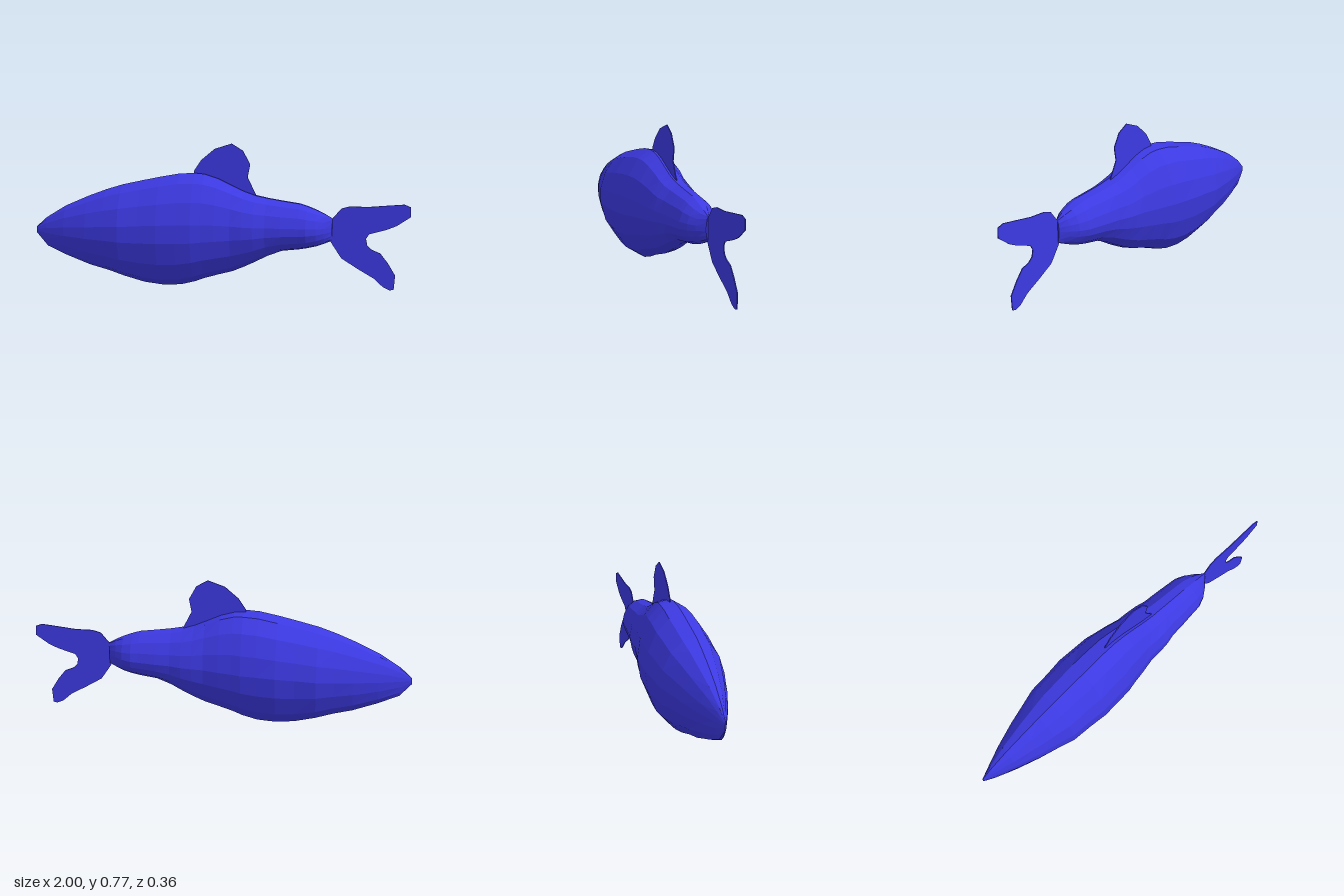
import * as THREE from 'three';

// Body stations: x, top y, bottom y, half width
const STATIONS = [
  [-1, 0.29, 0.255, 0.004], [-0.94, 0.345, 0.185, 0.028], [-0.83, 0.415, 0.138, 0.072],
  [-0.7, 0.475, 0.092, 0.115], [-0.6, 0.515, 0.068, 0.142], [-0.51, 0.545, 0.04, 0.168],
  [-0.4, 0.572, 0.012, 0.174], [-0.3, 0.595, 0.002, 0.184], [-0.2, 0.615, 0.008, 0.178],
  [-0.12, 0.62, 0.03, 0.174], [-0.07, 0.616, 0.05, 0.163], [0, 0.595, 0.072, 0.152],
  [0.08, 0.557, 0.095, 0.136], [0.14, 0.53, 0.122, 0.135], [0.2, 0.51, 0.152, 0.13],
  [0.26, 0.498, 0.185, 0.117], [0.34, 0.486, 0.218, 0.112], [0.43, 0.474, 0.23, 0.103],
  [0.47, 0.462, 0.238, 0.1], [0.52, 0.443, 0.25, 0.08], [0.56, 0.425, 0.265, 0.05],
  [0.6, 0.403, 0.282, 0.012],
];
const SIDES = 15;

// One faceted cross-section, slightly pinched above and below its widest line
function ring([x, top, bottom, half]) {
  const mid = x < -0.3 ? 0.32 + (x + 0.3) * 0.066 : 0.32 + (x + 0.3) * 0.024;
  const points = [];
  for (let j = 0; j < SIDES; j++) {
    const a = THREE.MathUtils.degToRad(6 + j * 24);
    const c = Math.sign(Math.cos(a)) * Math.pow(Math.abs(Math.cos(a)), 1.15);
    points.push([x, mid + c * (c > 0 ? top - mid : mid - bottom), Math.sin(a) * half]);
  }
  return points;
}

// Skin the cross-sections and close both ends
function bodyGeometry() {
  const positions = STATIONS.flatMap(ring).flat();
  const index = [];
  const last = STATIONS.length - 1;
  for (let i = 0; i < last; i++) {
    for (let j = 0; j < SIDES; j++) {
      const k = (j + 1) % SIDES;
      const a = i * SIDES + j, b = i * SIDES + k;
      index.push(a, b, a + SIDES, b, b + SIDES, a + SIDES);
    }
  }
  for (let j = 1; j < SIDES - 1; j++) {
    index.push(0, j + 1, j);
    index.push(last * SIDES, last * SIDES + j, last * SIDES + j + 1);
  }
  const geometry = new THREE.BufferGeometry();
  geometry.setAttribute('position', new THREE.Float32BufferAttribute(positions, 3));
  geometry.setIndex(index);
  geometry.computeVertexNormals();
  return geometry;
}

// Thin flat fin cut from an outline
function finGeometry(outline) {
  const shape = new THREE.Shape(outline.map(([x, y]) => new THREE.Vector2(x, y)));
  const geometry = new THREE.ExtrudeGeometry(shape, { depth: 0.005, bevelEnabled: false });
  return geometry.translate(0, 0, -0.0035);
}

export function createModel() {
  const model = new THREE.Group();
  model.name = 'fish';
  const blue = new THREE.MeshStandardMaterial({ color: 0x3c39e2, flatShading: true });
  blue.name = 'royal blue';

  const add = (name, geometry) => {
    const mesh = new THREE.Mesh(geometry, blue);
    mesh.name = name;
    model.add(mesh);
  };

  add('body', bodyGeometry());

  // Back fin, rooted inside the body
  add('dorsalFin', finGeometry([
    [-0.13, 0.59], [0.18, 0.48], [0.2, 0.51], [0.155, 0.6], [0.168, 0.67], [0.13, 0.74],
    [0.07, 0.776], [-0.02, 0.745], [-0.09, 0.685], [-0.13, 0.625],
  ]));

  // Forked tail
  add('tailFin', finGeometry([
    [0.58, 0.3], [0.6, 0.265], [0.65, 0.19], [0.74, 0.135], [0.82, 0.09], [0.87, 0.045],
    [0.905, 0.03], [0.925, 0.035], [0.93, 0.11], [0.89, 0.175], [0.85, 0.225], [0.805, 0.243],
    [0.782, 0.265], [0.775, 0.3], [0.79, 0.325], [0.88, 0.353], [0.93, 0.375], [1, 0.425],
    [0.998, 0.475], [0.965, 0.488], [0.87, 0.478], [0.78, 0.468], [0.69, 0.468],
    [0.645, 0.455], [0.6, 0.4], [0.58, 0.38],
  ]));

  return model;
}
